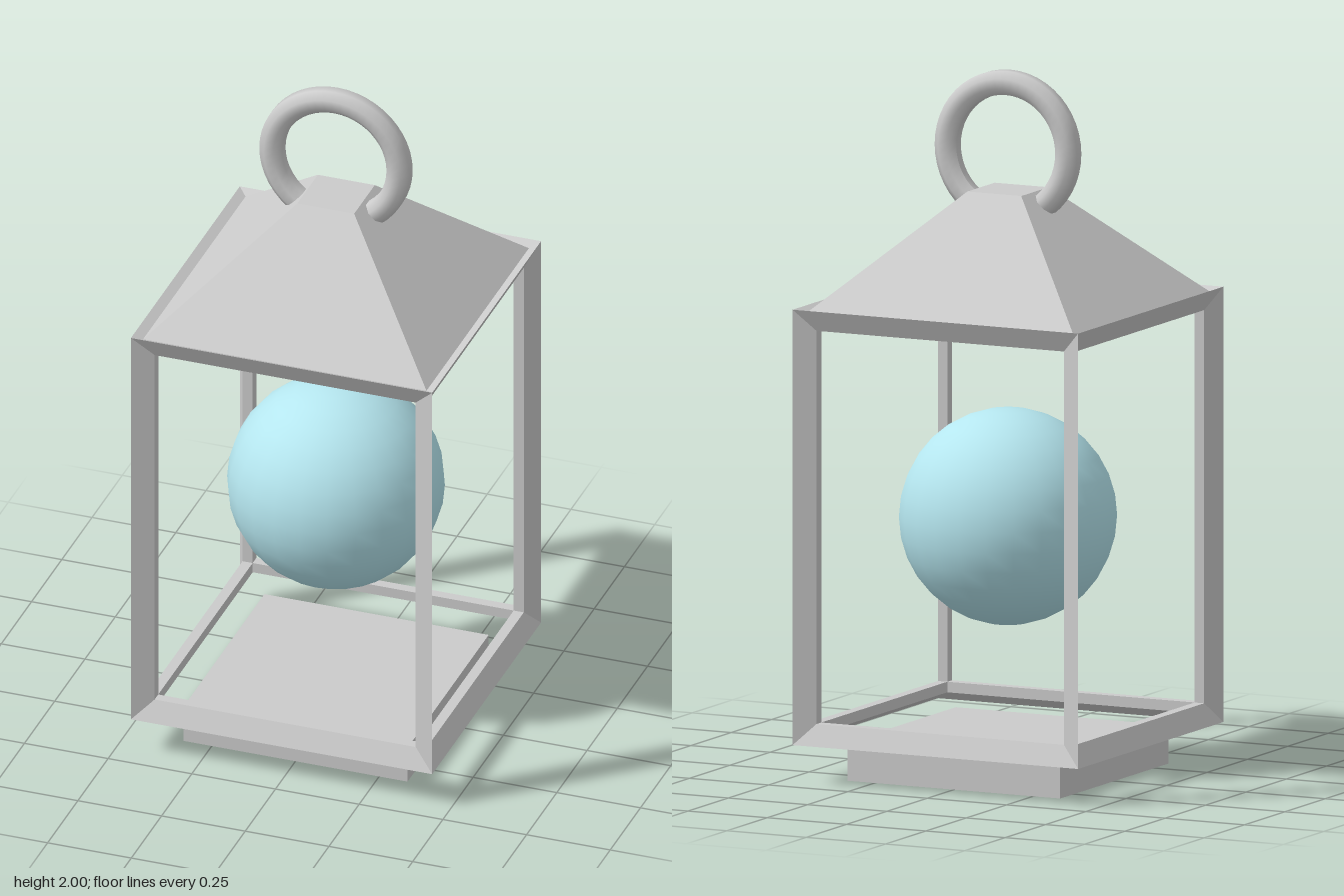
import * as THREE from 'three';

const metal = new THREE.MeshStandardMaterial({ color: 0xcccccc });
const facetedMetal = new THREE.MeshStandardMaterial({ color: 0xcccccc, flatShading: true });
const glow = new THREE.MeshStandardMaterial({ color: 0xb5e6ef });

// Open box frame: each side has a strip sloping inwards, then a short return to the bar's inner edge.
function frameGeometry(half, bar, slope) {
  const positions = [];
  const corners = [[1, 1], [-1, 1], [-1, -1], [1, -1]];
  for (let axis = 0; axis < 3; axis++) {
    for (const sign of [1, -1]) {
      const u = (axis + 1) % 3, v = (axis + 2) % 3;
      const ordered = sign > 0 ? corners : [...corners].reverse();
      const loop = (depth, inset) => ordered.map(([cu, cv]) => {
        const p = [0, 0, 0];
        p[axis] = sign * (half[axis] - depth);
        p[u] = cu * (half[u] - inset);
        p[v] = cv * (half[v] - inset);
        return p;
      });
      const loops = [loop(0, 0), loop(slope, bar), loop(bar, bar)];
      for (let k = 0; k < 2; k++) {
        for (let i = 0; i < 4; i++) {
          const j = (i + 1) % 4;
          const a = loops[k][i], b = loops[k][j], c = loops[k + 1][j], d = loops[k + 1][i];
          positions.push(...a, ...b, ...c, ...a, ...c, ...d);
        }
      }
    }
  }
  const geometry = new THREE.BufferGeometry();
  geometry.setAttribute('position', new THREE.Float32BufferAttribute(positions, 3));
  geometry.computeVertexNormals();
  return geometry;
}

export function createModel() {
  const lantern = new THREE.Group();
  lantern.name = 'lantern';
  const add = (name, geometry, material, y) => {
    const mesh = new THREE.Mesh(geometry, material);
    mesh.name = name;
    mesh.position.y = y;
    lantern.add(mesh);
    return mesh;
  };

  // Square foot below the frame
  add('base', new THREE.BoxGeometry(0.67, 0.11, 0.67), metal, 0.055);

  // Open cage with mitred, bevelled bars
  add('frame', frameGeometry([0.45, 0.62, 0.45], 0.06, 0.03), facetedMetal, 0.73);

  // Floating light
  add('lightOrb', new THREE.SphereGeometry(0.307, 24, 16), glow, 0.73);

  // Truncated pyramid roof
  const roof = new THREE.CylinderGeometry(0.085 * Math.SQRT2, 0.425 * Math.SQRT2, 0.325, 4, 1);
  roof.rotateY(Math.PI / 4);
  add('roof', roof, facetedMetal, 1.4975);

  // Carrying ring, an eight-sided tube with flats at its outer edge
  const section = [];
  for (let i = 0; i <= 8; i++) {
    const t = Math.PI + (i + 0.5) * Math.PI / 4;
    section.push(new THREE.Vector2(0.19 + 0.037 * Math.cos(t), 0.037 * Math.sin(t)));
  }
  const ring = new THREE.LatheGeometry(section, 48);
  ring.rotateX(Math.PI / 2);
  add('carryingRing', ring, metal, 1.775);

  return lantern;
}
